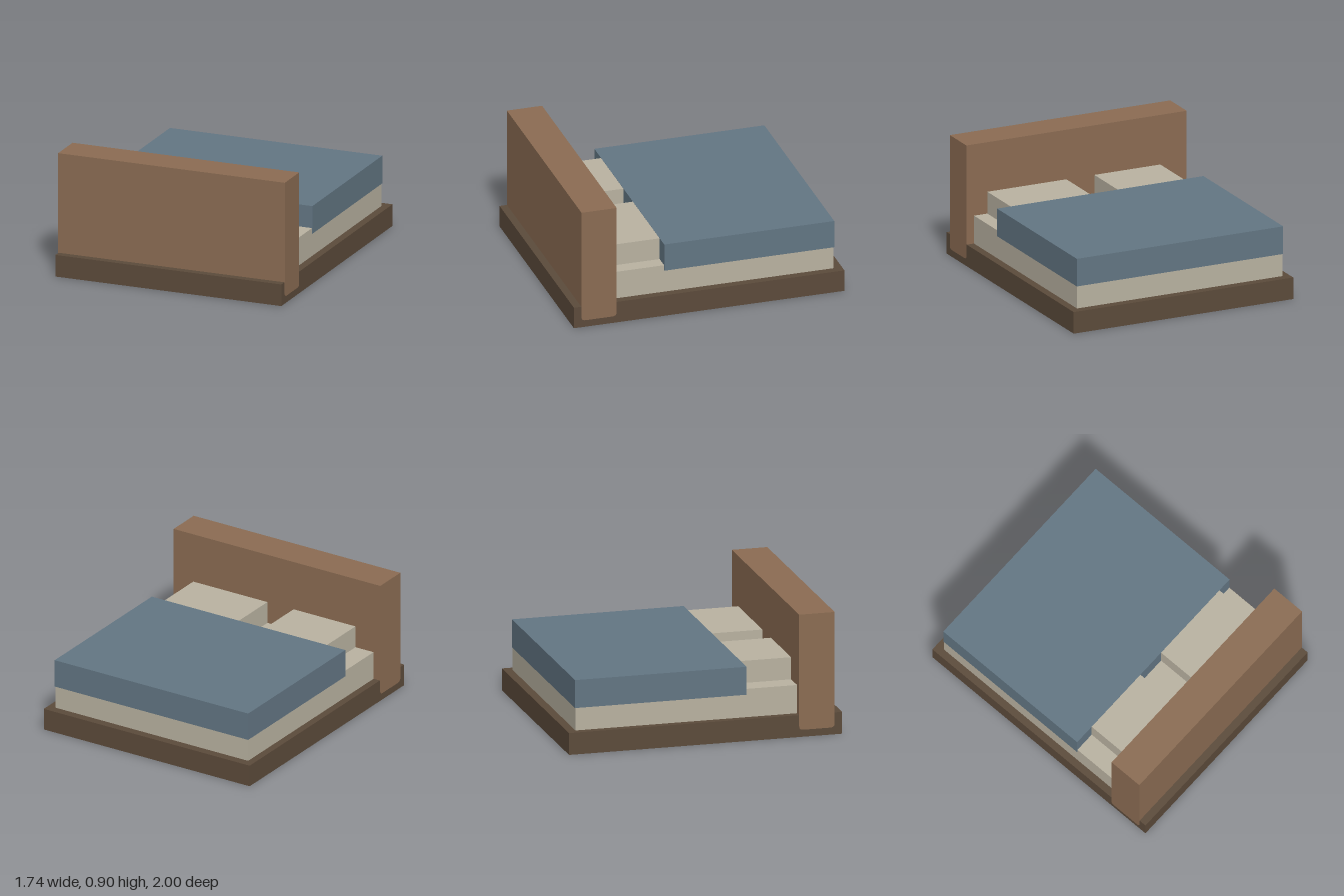
import * as THREE from 'three';

const material = (name, color) => {
  const m = new THREE.MeshStandardMaterial({ color });
  m.name = name;
  return m;
};

export function createModel() {
  const bed = new THREE.Group();
  bed.name = 'bed';

  const darkWood = material('dark wood', 0x5b4a3a);
  const wood = material('brown wood', 0x8a6b52);
  const linen = material('cream linen', 0xb8b1a0);
  const blue = material('blue blanket', 0x627582);

  // Box given by its limits on each axis
  const block = (name, mat, [x0, x1], [y0, y1], [z0, z1]) => {
    const mesh = new THREE.Mesh(new THREE.BoxGeometry(x1 - x0, y1 - y0, z1 - z0), mat);
    mesh.position.set((x0 + x1) / 2, (y0 + y1) / 2, (z0 + z1) / 2);
    mesh.name = name;
    bed.add(mesh);
  };

  // Platform, mattress and blanket
  block('platform', darkWood, [-0.865, 0.865], [0, 0.16], [-1, 1]);
  block('mattress', linen, [-0.812, 0.808], [0.15, 0.367], [-0.938, 0.7]);
  block('blanket', blue, [-0.815, 0.811], [0.325, 0.53], [-0.942, 0.315]);

  // Pillows
  block('rightPillow', linen, [-0.66, -0.14], [0.36, 0.529], [0.3, 0.7]);
  block('leftPillow', linen, [0.08, 0.703], [0.36, 0.529], [0.3, 0.7]);

  // Headboard: side profile with rounded lower corners, run across the width
  const back = -0.945, front = -0.685, bottom = 0.052, top = 0.897, r = 0.03;
  const profile = new THREE.Shape();
  profile.moveTo(back, top);
  profile.lineTo(back, bottom + r);
  profile.quadraticCurveTo(back, bottom, back + r, bottom);
  profile.lineTo(front - r, bottom);
  profile.quadraticCurveTo(front, bottom, front, bottom + r);
  profile.lineTo(front, top);
  profile.closePath();
  const width = 1.736;
  const geometry = new THREE.ExtrudeGeometry(profile, { depth: width, bevelEnabled: false, curveSegments: 5 });
  geometry.translate(0, 0, -width / 2);
  geometry.rotateY(Math.PI / 2);
  const headboard = new THREE.Mesh(geometry, wood);
  headboard.name = 'headboard';
  bed.add(headboard);

  return bed;
}
